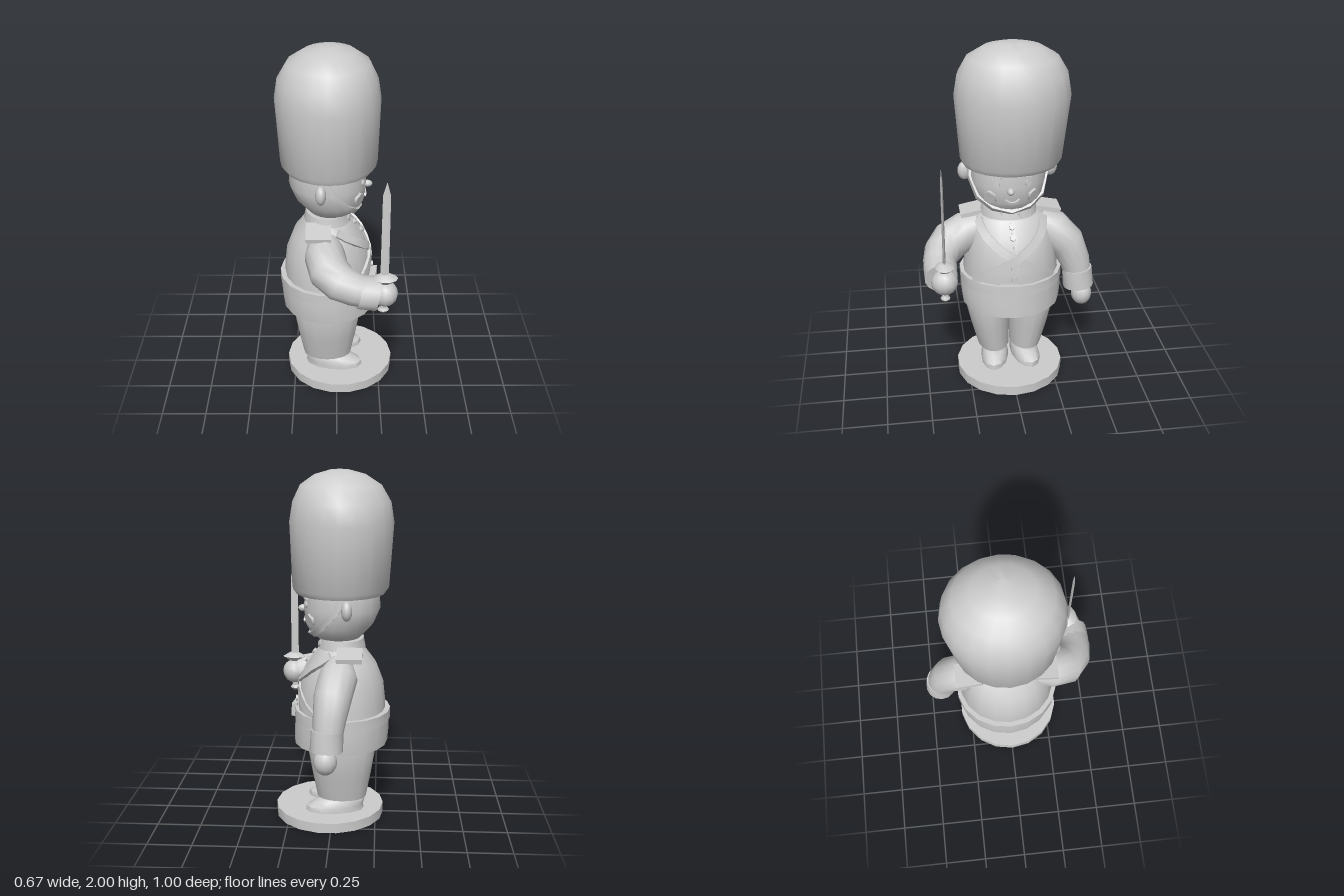
import * as THREE from 'three';
import { toCreasedNormals } from 'three/addons/utils/BufferGeometryUtils.js';

const V = (x, y, z) => new THREE.Vector3(x, y, z);

// Skin a list of point rings, with flat end caps
function loft(rings, crease = 0.75) {
  const n = rings[0].length, pos = [], idx = [];
  rings.forEach(r => r.forEach(p => pos.push(p.x, p.y, p.z)));
  for (let k = 0; k < rings.length - 1; k++)
    for (let i = 0; i < n; i++) {
      const j = (i + 1) % n, a = k * n, b = a + n;
      idx.push(a + i, b + i, b + j, a + i, b + j, a + j);
    }
  const last = (rings.length - 1) * n;
  for (let i = 1; i < n - 1; i++) {
    idx.push(0, i, i + 1);
    idx.push(last, last + i + 1, last + i);
  }
  const g = new THREE.BufferGeometry();
  g.setAttribute('position', new THREE.Float32BufferAttribute(pos, 3));
  g.setIndex(idx);
  return toCreasedNormals(g, crease);
}

// Upright form from rows of [y, cx, cz, rx, rz]
const upright = (rows, sides = 18) => loft(rows.map(([y, cx, cz, rx, rz]) =>
  Array.from({ length: sides }, (_, i) => {
    const a = i / sides * Math.PI * 2;
    return V(cx + rx * Math.cos(a), y, cz + rz * Math.sin(a));
  })));

// Round limb through points [x, y, z, radius]
function limb(pts, ref, sides = 14) {
  const P = pts.map(p => V(p[0], p[1], p[2]));
  return loft(P.map((p, k) => {
    const t = P[Math.min(k + 1, P.length - 1)].clone().sub(P[Math.max(k - 1, 0)]).normalize();
    const u = ref.clone().addScaledVector(t, -ref.dot(t)).normalize(), v = u.clone().cross(t);
    return Array.from({ length: sides }, (_, i) => {
      const a = i / sides * Math.PI * 2, r = pts[k][3];
      return p.clone().addScaledVector(u, r * Math.cos(a)).addScaledVector(v, r * Math.sin(a));
    });
  }), 1.2);
}

// Point and outward normal on an upright form at height y and angle a (0 = front)
function surface(rows, y, a) {
  let k = 0;
  while (k < rows.length - 2 && rows[k + 1][0] < y) k++;
  const t = (y - rows[k][0]) / (rows[k + 1][0] - rows[k][0]);
  const [, cx, cz, rx, rz] = rows[k].map((v, i) => v + (rows[k + 1][i] - v) * t);
  const slope = (rows[k][3] - rows[k + 1][3]) / (rows[k + 1][0] - rows[k][0]);
  return {
    p: V(cx + rx * Math.cos(a), y, cz + rz * Math.sin(a)),
    n: V(Math.cos(a) / rx, 0, Math.sin(a) / rz).normalize().setY(slope).normalize()
  };
}

// Flat strap lying on an upright form, through [y, angle] points
function strap(rows, path, halfWidth, halfThick) {
  const S = path.map(([y, a]) => surface(rows, y, a));
  return loft(S.map(({ p, n }, k) => {
    const t = S[Math.min(k + 1, S.length - 1)].p.clone().sub(S[Math.max(k - 1, 0)].p).normalize();
    const w = n.clone().cross(t).normalize();
    return [[1, 1], [-1, 1], [-1, -1], [1, -1]].map(([a, b]) =>
      p.clone().addScaledVector(n, a * halfThick).addScaledVector(w, b * halfWidth));
  }));
}

export function createModel() {
  const model = new THREE.Group();
  const grey = new THREE.MeshStandardMaterial({ color: 0xcccccc });
  grey.name = 'plain grey';
  const add = (name, geo) => {
    const m = new THREE.Mesh(geo, grey);
    m.name = name;
    model.add(m);
    return m;
  };
  const ball = (name, x, y, z, rx, ry, rz) => {
    const m = add(name, new THREE.SphereGeometry(1, 12, 8));
    m.position.set(x, y, z);
    m.scale.set(rx, ry, rz);
    return m;
  };
  // Sit a small piece on a form, its local z pointing outward
  const stick = (name, geo, rows, y, z, roll = 0) => {
    const c = surface(rows, y, 0).p.z, side = surface(rows, y, Math.PI / 2).p.z;
    const { p, n } = surface(rows, y, Math.asin((z - c) / (side - c)));
    const m = add(name, geo);
    m.position.copy(p);
    m.lookAt(p.clone().add(n));
    m.rotateZ(roll);
    return m;
  };
  const disc = (r, h, sides) => new THREE.CylinderGeometry(r, r, h, sides).rotateX(Math.PI / 2);

  // Stand
  add('base', upright([[0, 0.02, 0, 0.315, 0.315], [0.057, 0.02, 0, 0.315, 0.315]], 18));

  // Shoes and trousers
  for (const [side, s, zc] of [['right', 1, 0.09], ['left', -1, -0.105]]) {
    const shoe = add(side + 'Shoe', upright([[0.055, 0, 0, 0.17, 0.082], [0.085, 0, 0, 0.165, 0.082],
      [0.115, -0.03, 0, 0.145, 0.074], [0.14, -0.05, 0, 0.11, 0.062]], 12));
    shoe.position.set(-0.015, 0, zc - s * 0.005);
    shoe.rotation.y = -s * 0.15;
    add(side + 'Leg', upright([[0.145, -0.055, zc, 0.14, 0.095], [0.3, -0.055, zc + s * 0.018, 0.168, 0.117],
      [0.42, -0.055, zc + s * 0.03, 0.187, 0.131], [0.5, -0.055, zc + s * 0.03, 0.187, 0.131]], 16));
  }

  // Tunic
  const torso = [[0.62, -0.05, -0.015, 0.25, 0.28], [0.7, -0.05, -0.015, 0.25, 0.275],
    [0.82, -0.05, -0.015, 0.237, 0.262], [0.92, -0.05, -0.015, 0.198, 0.237],
    [1.0, -0.05, -0.01, 0.135, 0.2], [1.04, -0.05, 0, 0.1, 0.13]];
  add('torso', upright(torso));
  add('tunicSkirt', upright([[0.46, -0.045, -0.015, 0.27, 0.288], [0.54, -0.05, -0.015, 0.272, 0.297],
    [0.62, -0.052, -0.015, 0.268, 0.293]]));
  const belt = [[0.6, -0.053, -0.015, 0.276, 0.3], [0.66, -0.055, -0.015, 0.274, 0.3]];
  add('belt', upright(belt));
  stick('beltBuckle', new THREE.BoxGeometry(0.11, 0.075, 0.03), belt, 0.635, 0.025);
  const collar = [[1.015, -0.05, -0.005, 0.135, 0.165], [1.07, -0.052, -0.005, 0.122, 0.155]];
  add('collar', upright(collar, 16));

  // Crossed straps, front seam and buttons
  for (const s of [1, -1]) {
    const path = Array.from({ length: 10 }, (_, i) => {
      const t = i / 9;
      return [1.0 - 0.34 * t, s * (1.15 - 2.1 * t)];
    });
    add('crossStrap', strap(torso, path, 0.024, s > 0 ? 0.009 : 0.014));
    stick('collarStud', disc(0.018, 0.02, 4), collar, 1.043, s * 0.06);
  }
  add('frontSeam', strap(torso, [[1.01, 0], [0.92, 0], [0.82, 0], [0.7, 0], [0.65, 0]], 0.012, 0.004));
  for (const y of [0.98, 0.93, 0.77, 0.7]) stick('button', disc(0.018, 0.03, 6), torso, y, -0.005);

  // Shoulder boards
  for (const s of [1, -1]) {
    const board = add('epaulette', new THREE.BoxGeometry(0.14, 0.026, 0.15));
    board.position.set(-0.1, 1.017, s * 0.215 - 0.018);
    board.rotation.x = s * 0.2;
  }

  // Bent right arm
  const up = V(0, 1, 0), ahead = V(1, 0, 0);
  add('rightArm', limb([[-0.07, 0.935, 0.13, 0.085], [-0.065, 0.895, 0.24, 0.113], [-0.04, 0.85, 0.335, 0.115],
    [0.025, 0.81, 0.39, 0.104], [0.1, 0.785, 0.41, 0.092], [0.17, 0.765, 0.41, 0.085]], up));
  add('rightCuff', limb([[0.125, 0.77, 0.406, 0.096], [0.225, 0.752, 0.408, 0.092]], up));
  ball('rightHand', 0.262, 0.75, 0.392, 0.072, 0.073, 0.075);

  // Hanging left arm
  add('leftArm', limb([[-0.05, 0.955, -0.17, 0.07], [-0.04, 0.9, -0.255, 0.108], [-0.015, 0.81, -0.345, 0.104],
    [0, 0.7, -0.39, 0.09], [0.01, 0.6, -0.41, 0.08]], ahead));
  add('leftCuff', limb([[0.01, 0.65, -0.405, 0.088], [0.015, 0.535, -0.415, 0.09]], ahead));
  ball('leftHand', 0.02, 0.48, -0.435, 0.065, 0.075, 0.062);

  // Sword
  add('swordBlade', upright([[0.84, 0.258, 0.39, 0.023, 0.008], [1.34, 0.258, 0.39, 0.021, 0.007],
    [1.415, 0.258, 0.39, 0.001, 0.001]], 4));
  add('swordGuard', upright([[0.82, 0.262, 0.39, 0.035, 0.03], [0.845, 0.262, 0.39, 0.07, 0.052],
    [0.868, 0.262, 0.39, 0.03, 0.025]], 10));
  add('swordGrip', upright([[0.65, 0.255, 0.39, 0.02, 0.02], [0.83, 0.258, 0.39, 0.02, 0.02]], 8));
  add('swordPommel', upright([[0.63, 0.255, 0.39, 0.015, 0.013], [0.645, 0.255, 0.39, 0.033, 0.028],
    [0.665, 0.255, 0.39, 0.02, 0.018]], 8));

  // Head
  const head = [[1.05, -0.04, 0, 0.09, 0.1], [1.09, -0.025, 0, 0.148, 0.15], [1.15, -0.035, 0, 0.192, 0.197],
    [1.24, -0.05, 0, 0.216, 0.215], [1.33, -0.05, 0, 0.21, 0.21], [1.4, -0.05, 0, 0.2, 0.2]];
  add('head', upright(head));
  ball('nose', 0.172, 1.23, 0.012, 0.028, 0.02, 0.02);
  for (const s of [1, -1]) {
    ball('ear', -0.085, 1.265, s * 0.245 - 0.005, 0.03, 0.055, 0.04);
    stick('eye', disc(0.018, 0.016, 8), head, 1.268, s * 0.085);
    stick('eyebrow', new THREE.BoxGeometry(0.05, 0.012, 0.016), head, 1.3, s * 0.085, s * 0.2);
    stick('cheek', disc(0.04, 0.016, 6), head, 1.185, s * 0.12);
  }
  add('mouth', strap(head, [[1.175, -0.2], [1.16, -0.1], [1.156, 0], [1.16, 0.1], [1.175, 0.2]], 0.007, 0.009));
  const strapSide = [[1.35, 1.7], [1.25, 1.45], [1.16, 1.1], [1.11, 0.65]];
  add('chinStrap', strap(head, [...strapSide, [1.09, 0], ...strapSide.map(([y, a]) => [y, -a]).reverse()],
    0.018, 0.013));

  // Tall fur hat
  add('furHat', upright([[1.33, -0.042, -0.016, 0.25, 0.27], [1.36, -0.042, -0.018, 0.27, 0.285],
    [1.72, -0.047, -0.028, 0.288, 0.321], [1.83, -0.047, -0.028, 0.27, 0.302], [1.92, -0.042, -0.026, 0.222, 0.25],
    [1.975, -0.038, -0.024, 0.14, 0.16], [2.0, -0.036, -0.022, 0.05, 0.06]], 20));

  return model;
}
